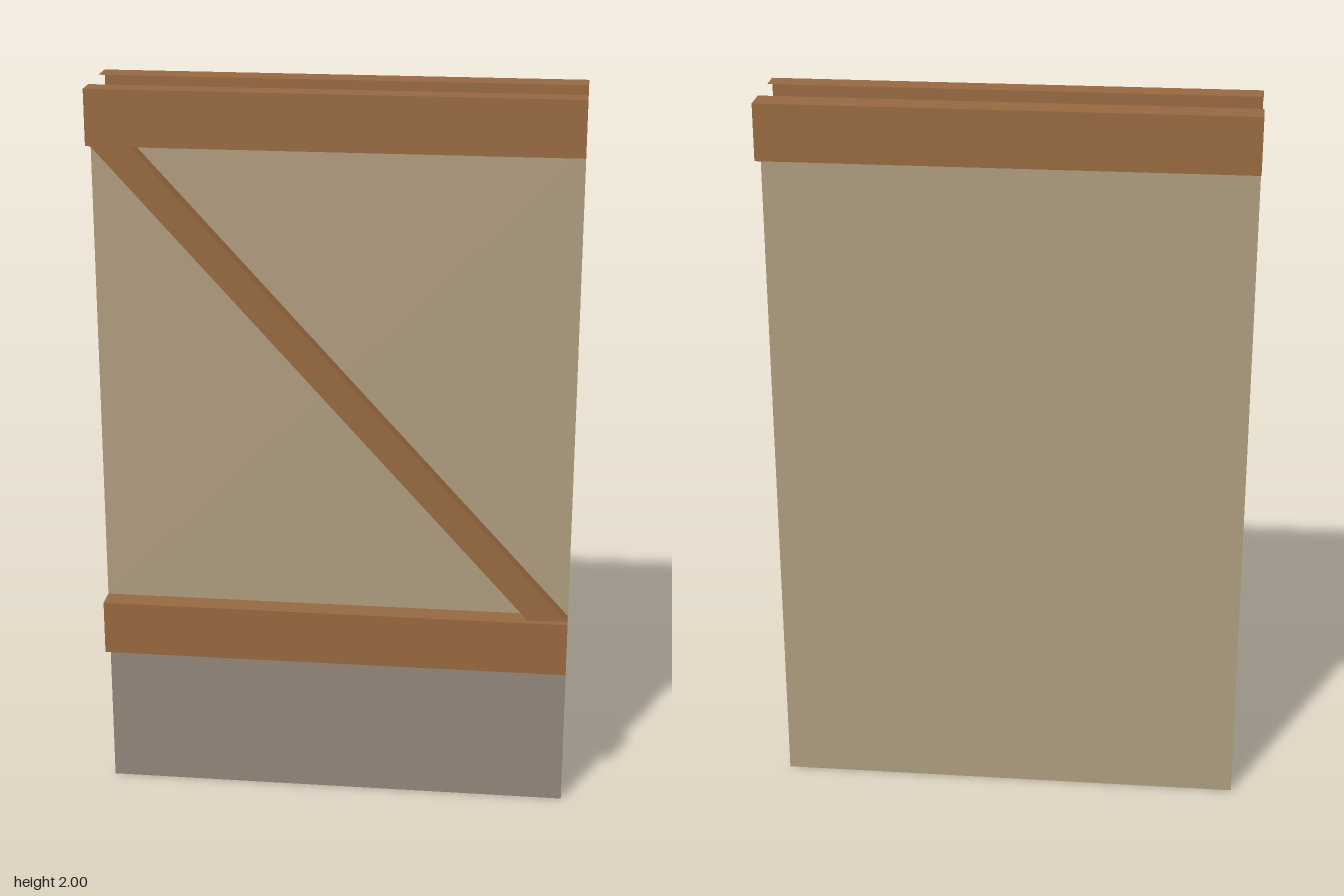
import * as THREE from 'three';

const mat = (name, color) => {
  const m = new THREE.MeshStandardMaterial({ color, side: THREE.DoubleSide });
  m.name = name;
  return m;
};

// Thin-walled member: joins two matching open cross-sections with flat strips.
function channel(name, startSection, endSection, material) {
  const pos = [];
  for (let i = 0; i < startSection.length - 1; i++) {
    const [a, b, c, d] = [startSection[i], startSection[i + 1], endSection[i + 1], endSection[i]];
    pos.push(...a, ...b, ...c, ...a, ...c, ...d);
  }
  const g = new THREE.BufferGeometry();
  g.setAttribute('position', new THREE.Float32BufferAttribute(pos, 3));
  g.computeVertexNormals();
  const mesh = new THREE.Mesh(g, material);
  mesh.name = name;
  return mesh;
}

export function createModel() {
  const group = new THREE.Group();
  group.name = 'timberWall';
  const timber = mat('timberBrown', 0x97683f);
  const plaster = mat('plasterBeige', 0xad9b7e);
  const plinth = mat('plinthGrey', 0x91867a);
  const W = 0.64;

  // Horizontal beam: outer face plus top and bottom, open ends and open inner side
  const beam = (name, y0, y1, zIn, zOut) => {
    const section = (x) => [[x, y0, zIn], [x, y0, zOut], [x, y1, zOut], [x, y1, zIn]];
    const s = Math.sign(zOut);
    group.add(channel(name, section(-W * s), section(W * s), timber));
  };
  beam('frontTopBeam', 1.85, 1.998, 0.066, 0.13);
  beam('frontMiddleBeam', 0.417, 0.567, 0.066, 0.13);
  beam('backTopBeam', 1.85, 2, -0.055, -0.131);

  // Flat wall sheets
  const sheet = (name, y0, y1, z, material) => {
    const s = Math.sign(z);
    const mesh = new THREE.Mesh(new THREE.PlaneGeometry(2 * W, y1 - y0), material);
    mesh.position.set(0, (y0 + y1) / 2, z);
    if (s < 0) mesh.rotation.y = Math.PI;
    mesh.name = name;
    group.add(mesh);
  };
  sheet('frontPanel', 0.567, 1.85, 0.066, plaster);
  sheet('frontPlinth', 0, 0.417, 0.066, plinth);
  sheet('backPanel', 0, 1.925, -0.057, plaster);

  // Diagonal brace, cut level where it meets the beams
  const cut = (x0, x1, y) => [[x0, y, 0.031], [x0, y, 0.11], [x1, y, 0.11], [x1, y, 0.031]];
  group.add(channel('diagonalBrace', cut(-0.635, -0.53, 1.85), cut(0.53, 0.638, 0.567), timber));

  return group;
}
